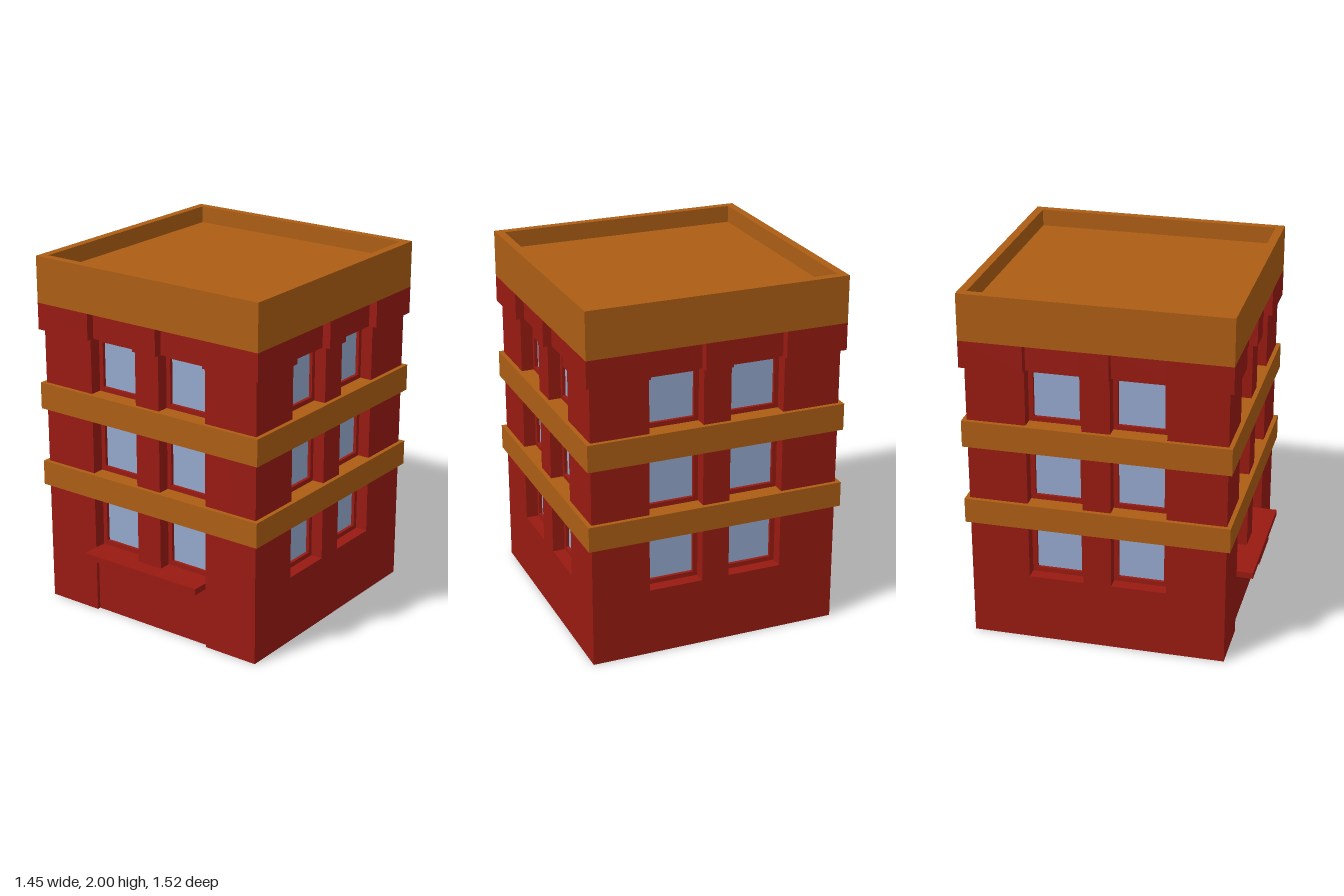
import * as THREE from 'three';

const BRICK = new THREE.MeshStandardMaterial({ color: 0x981a12, flatShading: true });
const STONE = new THREE.MeshStandardMaterial({ color: 0xac5d14, flatShading: true });
const GLASS = new THREE.MeshStandardMaterial({ color: 0x94a8cc, flatShading: true });

const BODY = 0.703, LEDGE = 0.727, NICHE = 0.61;
const WINDOWS = [[-0.38, -0.077], [0.077, 0.38]]; // niche spans on each side

// Square floor plan whose sides (front, +x, back, -x) may be notched inward to `inner`
function plan(half, inner = half, notches = () => []) {
  const pts = [];
  for (let side = 0; side < 4; side++) {
    const line = [[-half, -half]];
    for (const [a, b] of notches(side)) line.push([a, -half], [a, -inner], [b, -inner], [b, -half]);
    for (let [x, y] of line) {
      for (let k = 0; k < side; k++) [x, y] = [-y, x];
      pts.push(new THREE.Vector2(x, y));
    }
  }
  return new THREE.Shape(pts);
}

// Raise a plan from y0 to y1
function storey(name, shape, y0, y1, material) {
  const geo = new THREE.ExtrudeGeometry(shape, { depth: y1 - y0, bevelEnabled: false });
  geo.rotateX(-Math.PI / 2).translate(0, y0, 0);
  const mesh = new THREE.Mesh(geo, material);
  mesh.name = name;
  return mesh;
}

function rectangle(x0, y0, x1, y1, Kind = THREE.Shape) {
  return new Kind([[x0, y0], [x1, y0], [x1, y1], [x0, y1]].map(p => new THREE.Vector2(...p)));
}

// Frame with an inset pane, filling one niche
function makeWindow([x0, x1], y0, y1) {
  const g = new THREE.Group();
  g.name = 'window';
  const t = 0.026;
  const outline = rectangle(x0, y0, x1, y1);
  outline.holes.push(rectangle(x0 + t, y0 + t, x1 - t, y1 - t, THREE.Path));
  const frame = new THREE.Mesh(
    new THREE.ExtrudeGeometry(outline, { depth: 0.025, bevelEnabled: false }), BRICK);
  frame.name = 'windowFrame';
  frame.position.z = NICHE;
  const pane = new THREE.Mesh(
    new THREE.BoxGeometry(x1 - x0 - 2 * t, y1 - y0 - 2 * t, 0.01), GLASS);
  pane.name = 'windowPane';
  pane.position.set((x0 + x1) / 2, (y0 + y1) / 2, NICHE + 0.002);
  g.add(frame, pane);
  return g;
}

export function createModel() {
  const model = new THREE.Group();
  model.name = 'building';
  const tower = new THREE.Group();
  tower.name = 'tower';
  tower.position.z = -0.034;
  model.add(tower);

  // Walls: ground floor with shallow doorway, sill course, upper floors with window niches
  tower.add(
    storey('groundFloor', plan(BODY, BODY - 0.02, s => (s === 0 ? [[-0.38, 0.38]] : [])), 0, 0.345, BRICK),
    storey('sillCourse', plan(BODY), 0.345, 0.38, BRICK),
    storey('upperWalls', plan(BODY, NICHE, () => WINDOWS), 0.38, 1.59, BRICK),
    storey('cornice', plan(LEDGE, 0.68, () => WINDOWS), 1.59, 1.74, BRICK),
  );

  // Ledges between the floors
  for (const [y0, y1] of [[0.685, 0.825], [1.135, 1.285]]) {
    tower.add(storey('ledge', plan(LEDGE), y0, y1, STONE));
  }

  // Flat roof inside a raised parapet
  const rim = plan(LEDGE);
  rim.holes.push(rectangle(-0.68, -0.68, 0.68, 0.68, THREE.Path));
  tower.add(
    storey('roof', plan(LEDGE), 1.74, 1.905, STONE),
    storey('parapet', rim, 1.905, 2, STONE),
  );

  // Windows on all four sides
  for (let side = 0; side < 4; side++) {
    const face = new THREE.Group();
    face.name = 'windowsOfSide';
    face.rotation.y = side * Math.PI / 2;
    for (const [y0, y1] of [[0.38, 0.685], [0.825, 1.135], [1.285, 1.59]]) {
      for (const span of WINDOWS) face.add(makeWindow(span, y0, y1));
    }
    tower.add(face);
  }

  // Canopy over the doorway
  const canopy = new THREE.Mesh(new THREE.BoxGeometry(0.76, 0.035, 0.094), BRICK);
  canopy.name = 'canopy';
  canopy.position.set(0, 0.3625, BODY + 0.044);
  tower.add(canopy);

  return model;
}
